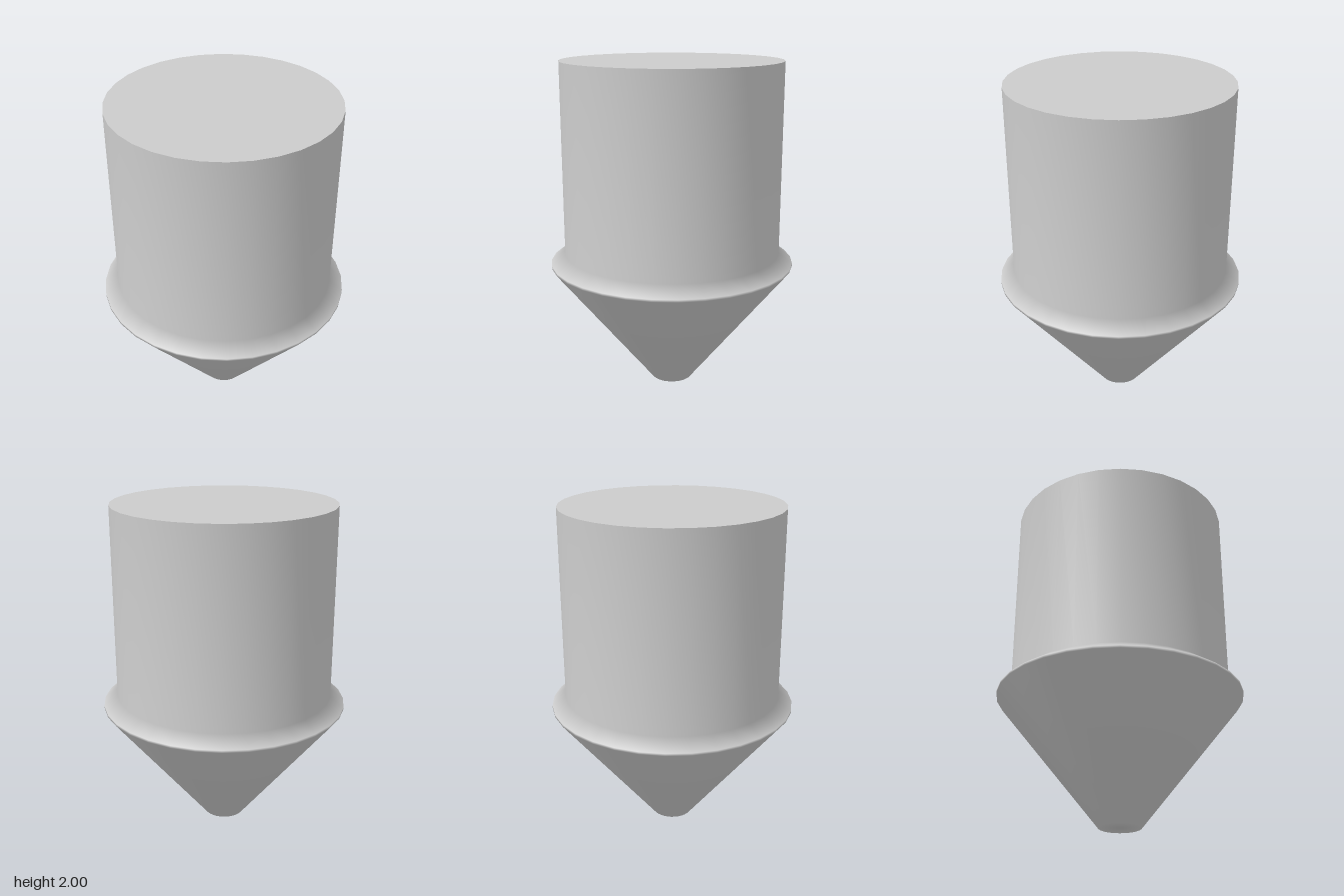
import * as THREE from 'three';
import { mergeVertices } from 'three/addons/utils/BufferGeometryUtils.js';

const SIDES = 32;
const BODY_RADIUS = 0.66;

export function createModel() {
  const model = new THREE.Group();
  const material = new THREE.MeshStandardMaterial({ color: 0xcccccc });

  // Blunt tip, cone, narrow rim, sloping shoulder and straight shank
  const profile = [
    [0, 0], [0.125, 0], [0.743, 0.77], [0.743, 0.785], [BODY_RADIUS, 0.845], [BODY_RADIUS, 2],
  ].map(([r, y]) => new THREE.Vector2(r, y));

  // Weld the seam so that area-weighted normals run smoothly all round
  const lathe = new THREE.LatheGeometry(profile, SIDES);
  lathe.deleteAttribute('normal');
  lathe.deleteAttribute('uv');
  const shell = mergeVertices(lathe, 1e-4);
  shell.computeVertexNormals();
  const body = new THREE.Mesh(shell, material);
  body.name = 'plugBody';
  model.add(body);

  // Flat top with a sharp edge
  const top = new THREE.Mesh(new THREE.CircleGeometry(BODY_RADIUS, SIDES), material);
  top.name = 'topCap';
  top.rotation.x = -Math.PI / 2;
  top.position.y = 2;
  model.add(top);

  return model;
}
